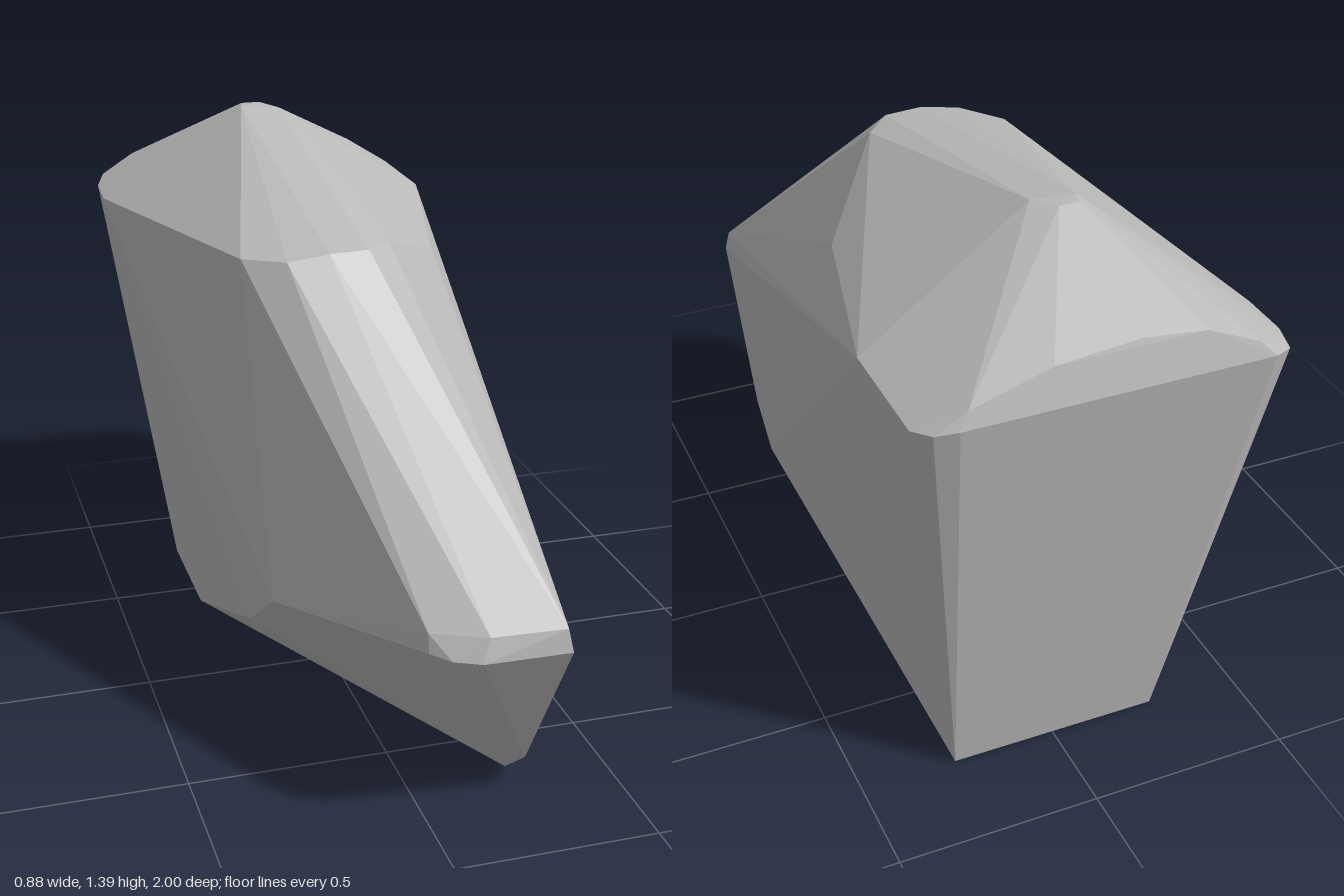
import * as THREE from 'three';
import { ConvexGeometry } from 'three/addons/geometries/ConvexGeometry.js';

// Faceted boulder: a convex solid spanned by a few rings of corner points.
const base = [
  [0.26, 0, 0.64], [0.26, 0, -0.76], [-0.27, 0, -0.76], [-0.27, 0, -0.42],
];
// Blunt front nose, chamfered beneath
const nose = [
  [0.26, 0.1, 0.76], [0.26, 0.51, 1], [0.25, 0.565, 0.99],
  [0.06, 0.5, 0.98], [0.08, 0.555, 0.965], [0, 0.5, 0.95],
  [-0.04, 0.505, 0.91], [-0.04, 0.55, 0.9],
];
// Flat cut on the front of the -x side
const sideCut = [
  [-0.27, 0.26, 0.2], [-0.27, 0.43, 0.44], [-0.27, 1.2, 0.17],
];
// Front edge of the roof, then its peak
const roof = [
  [-0.18, 1.21, 0.26], [-0.08, 1.225, 0.27], [0.02, 1.225, 0.26], [0.09, 1.22, 0.19],
  [-0.08, 1.395, -0.6], [0.02, 1.39, -0.58], [-0.02, 1.395, -0.64], [-0.07, 1.395, -0.64],
];
// Wide shoulders and rounded rear corners
const shoulders = [
  [0.305, 1.1, -0.11], [0.44, 1.13, -0.64], [0.44, 1.13, -0.93],
  [0.41, 1.14, -0.98], [0.36, 1.15, -1], [0.34, 1.19, -0.99],
  [-0.445, 1.125, -0.75], [-0.44, 1.13, -0.88], [-0.41, 1.14, -0.97],
  [-0.36, 1.15, -1], [-0.32, 1.19, -0.99],
  [-0.2, 1.24, -0.98], [-0.05, 1.255, -0.975], [0.15, 1.24, -0.98],
];

export function createModel() {
  const stone = new THREE.MeshStandardMaterial({ color: 0xbbbbbb });
  stone.name = 'stone grey';
  const corners = [...base, ...nose, ...sideCut, ...roof, ...shoulders]
    .map((p) => new THREE.Vector3(...p));
  const boulder = new THREE.Mesh(new ConvexGeometry(corners), stone);
  boulder.name = 'boulder';

  const model = new THREE.Group();
  model.name = 'rock';
  model.add(boulder);
  return model;
}
